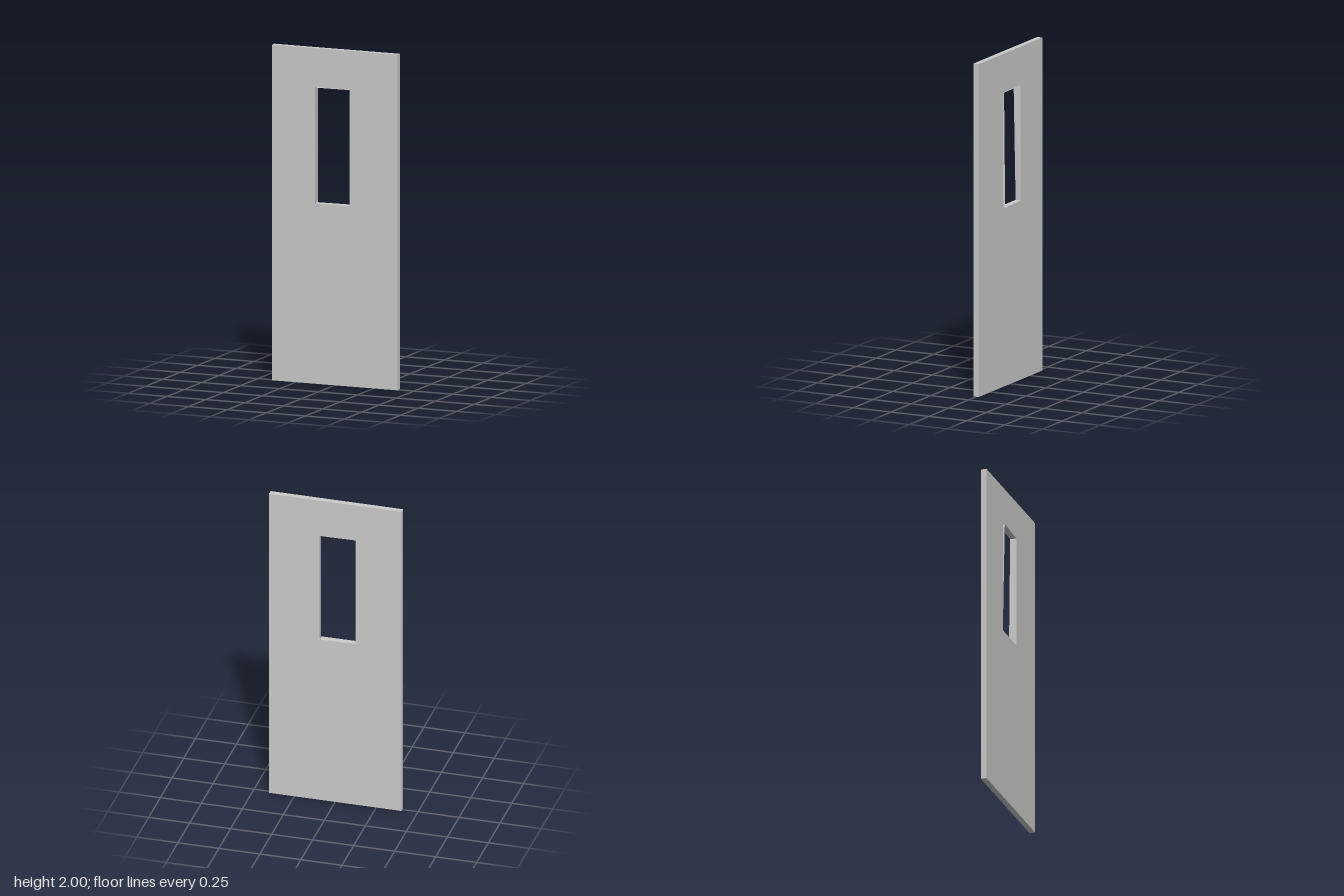
import * as THREE from 'three';

// Rectangle outline, used for the panel and its window opening
function rect(path, x0, y0, x1, y1) {
  path.moveTo(x0, y0);
  path.lineTo(x1, y0);
  path.lineTo(x1, y1);
  path.lineTo(x0, y1);
  path.closePath();
  return path;
}

export function createModel() {
  const group = new THREE.Group();
  group.name = 'door';

  // Flat door leaf with a tall window opening
  const shape = rect(new THREE.Shape(), -0.404, 0, 0.404, 2);
  shape.holes.push(rect(new THREE.Path(), -0.126, 1.075, 0.096, 1.768));
  const panelGeometry = new THREE.ExtrudeGeometry(shape, { depth: 0.034, bevelEnabled: false });
  panelGeometry.translate(0, 0, -0.018);
  const panel = new THREE.Mesh(panelGeometry, new THREE.MeshStandardMaterial({ color: 0xcccccc }));
  panel.name = 'doorPanel';
  group.add(panel);

  // Thin window lining, slightly skewed so it peeks out of both faces.
  // Corners run counter-clockwise from bottom left.
  const front = [[-0.125, 1.077, 0.014], [0.094, 1.077, 0.012], [0.095, 1.766, 0.016], [-0.119, 1.766, 0.024]];
  const back = [[-0.125, 1.076, -0.019], [0.086, 1.076, -0.027], [0.088, 1.766, -0.021], [-0.124, 1.766, -0.017]];
  const points = [];
  for (let i = 0; i < 4; i++) {
    const j = (i + 1) % 4;
    for (const p of [front[i], front[j], back[j], front[i], back[j], back[i]]) points.push(...p);
  }
  const liningGeometry = new THREE.BufferGeometry();
  liningGeometry.setAttribute('position', new THREE.Float32BufferAttribute(points, 3));
  liningGeometry.computeVertexNormals();
  const lining = new THREE.Mesh(
    liningGeometry,
    new THREE.MeshStandardMaterial({ color: 0xcccccc, side: THREE.DoubleSide, flatShading: true })
  );
  lining.name = 'windowLining';
  group.add(lining);

  return group;
}
